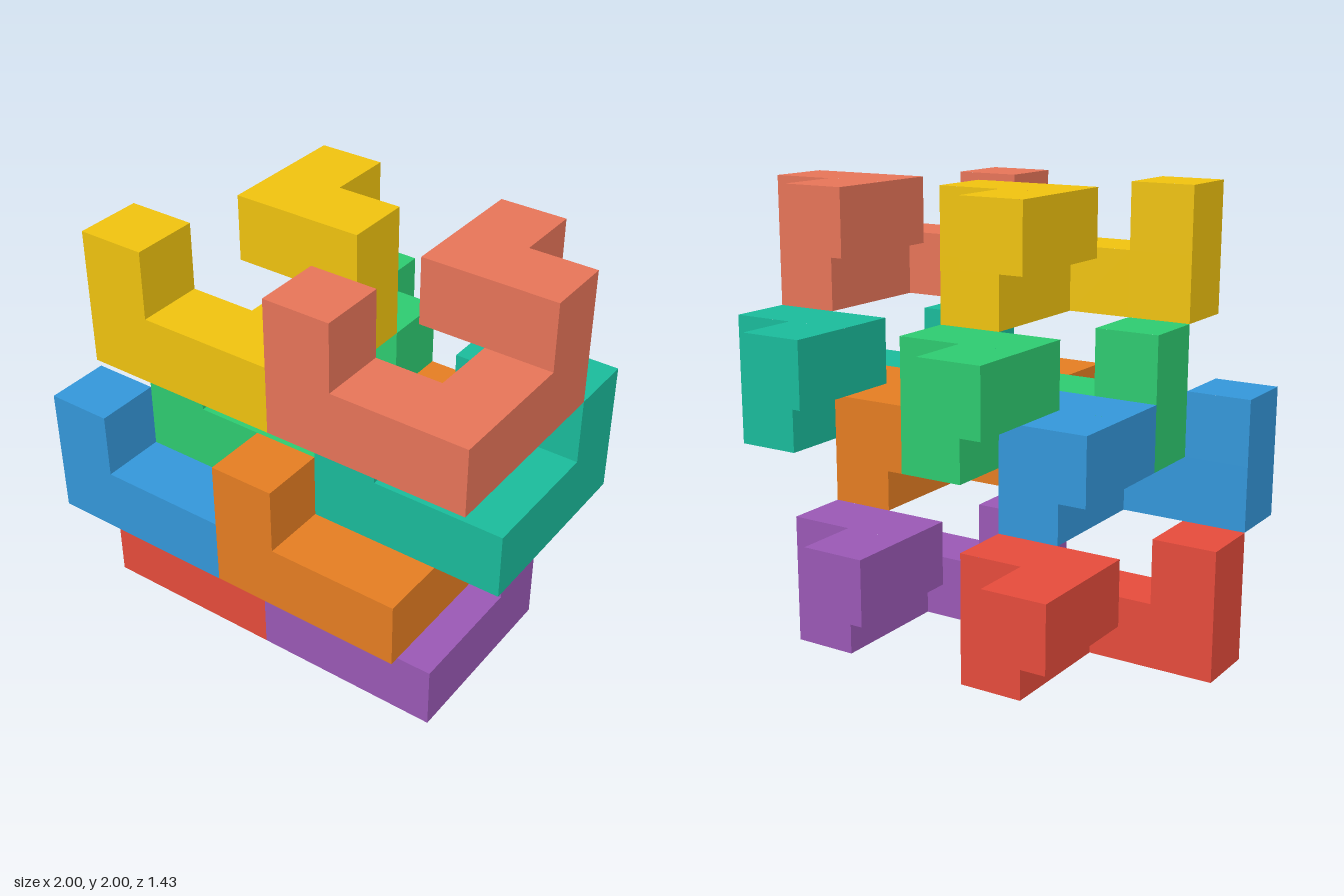
import * as THREE from 'three';
import { mergeGeometries } from 'three/addons/utils/BufferGeometryUtils.js';

const S = 2 / 7; // edge of one cube cell

// Cells of the shared interlocking piece: L-shaped base, front post, raised back hook
const CELLS = [
  [0, 0, 2], [1, 0, 2], [2, 0, 2], [2, 0, 1], [2, 0, 0],
  [0, 1, 2],
  [2, 1, 0], [1, 1, 0], [1, 1, -1],
];

const DIRECTIONS = [
  [1, 0, 0], [-1, 0, 0], [0, 1, 0], [0, -1, 0], [0, 0, 1], [0, 0, -1],
].map((d) => new THREE.Vector3(...d));

// Name, colour and grid offset of each piece
const PIECES = [
  ['redPiece', 0xe74c3c, [0, 0, 1]],
  ['purplePiece', 0x9b59b6, [3, 0, 1]],
  ['bluePiece', 0x3498db, [0, 2, 2]],
  ['orangePiece', 0xe67e22, [3, 2, 2]],
  ['greenPiece', 0x2ecc71, [1, 3, 1]],
  ['tealPiece', 0x1abc9c, [4, 3, 1]],
  ['yellowPiece', 0xf1c40f, [1, 5, 2]],
  ['salmonPiece', 0xe87559, [4, 5, 2]],
];

// Outer skin of the cells: one square wherever a cell has no neighbour
function pieceGeometry() {
  const key = (v) => v.toArray().map(Math.round).join();
  const cells = CELLS.map((c) => new THREE.Vector3(...c));
  const filled = new Set(cells.map(key));
  const faces = [];
  for (const cell of cells) {
    for (const dir of DIRECTIONS) {
      if (filled.has(key(cell.clone().add(dir)))) continue;
      const centre = cell.clone().addScalar(0.5).addScaledVector(dir, 0.5).multiplyScalar(S);
      faces.push(new THREE.PlaneGeometry(S, S).lookAt(dir).translate(centre.x, centre.y, centre.z));
    }
  }
  return mergeGeometries(faces);
}

export function createModel() {
  const group = new THREE.Group();
  group.name = 'stackedPuzzlePieces';
  const geometry = pieceGeometry();
  for (const [name, color, [i, j, k]] of PIECES) {
    const piece = new THREE.Mesh(geometry, new THREE.MeshStandardMaterial({ color }));
    piece.name = name;
    piece.position.set(i * S - 1, j * S, (k - 2.5) * S);
    group.add(piece);
  }
  return group;
}
